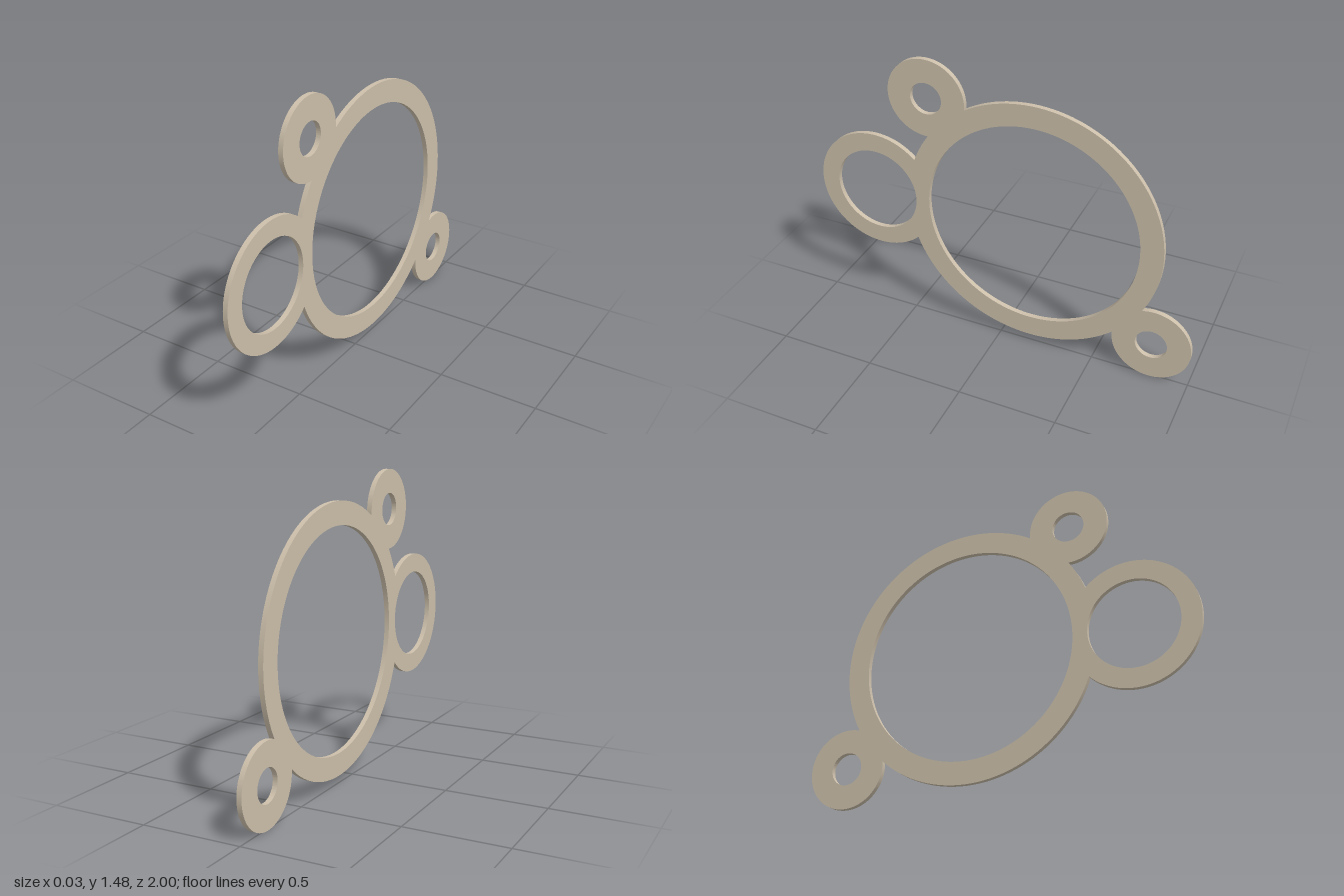
import * as THREE from 'three';
import { toCreasedNormals } from 'three/addons/utils/BufferGeometryUtils.js';

const THICKNESS = 0.025;
// Drawn in the XY plane, then turned so that the sketch x becomes -z
const MAIN = { x: 0.16, y: 0.703, outer: 0.659, inner: 0.546 };
// Lobes in counter-clockwise order round the main ring
const LOBES = [
  { x: 0.8, y: 0.2, outer: 0.2, inner: 0.081 },
  { x: -0.381, y: 1.284, outer: 0.2, inner: 0.081 },
  { x: -0.681, y: 0.703, outer: 0.319, inner: 0.223 },
];

// Points of an arc from angle a to b, leaving out the last one
function arc(c, r, a, b) {
  const n = Math.max(8, Math.ceil(Math.abs(b - a) / (Math.PI * 2) * 128));
  return Array.from({ length: n }, (_, i) => {
    const t = a + (b - a) * i / n;
    return new THREE.Vector2(c.x + r * Math.cos(t), c.y + r * Math.sin(t));
  });
}

// Where each lobe meets the main ring, as half angles seen from both centres
function joint(lobe) {
  const dx = lobe.x - MAIN.x, dy = lobe.y - MAIN.y;
  const d = Math.hypot(dx, dy), R = MAIN.outer, r = lobe.outer;
  return {
    lobe,
    angle: Math.atan2(dy, dx),
    onMain: Math.acos((d * d + R * R - r * r) / (2 * d * R)),
    onLobe: Math.PI - Math.acos((d * d + r * r - R * R) / (2 * d * r)),
  };
}

export function createModel() {
  const group = new THREE.Group();
  group.name = 'ringPlate';

  // One outline running round the lobes and the main ring between them
  const joints = LOBES.map(joint);
  const outline = joints.flatMap((j, i) => {
    const next = joints[(i + 1) % joints.length];
    const start = j.angle + j.onMain;
    let end = next.angle - next.onMain;
    while (end < start) end += Math.PI * 2;
    return [
      ...arc(j.lobe, j.lobe.outer, j.angle - j.onLobe, j.angle + j.onLobe),
      ...arc(MAIN, MAIN.outer, start, end),
    ];
  });
  const shape = new THREE.Shape(outline);

  // Round openings
  for (const ring of [MAIN, ...LOBES]) {
    shape.holes.push(new THREE.Path(arc(ring, ring.inner, Math.PI * 2, 0)));
  }

  const flat = new THREE.ExtrudeGeometry(shape, { depth: THICKNESS, bevelEnabled: false });
  flat.translate(0, 0, -THICKNESS / 2);
  flat.rotateY(Math.PI / 2);

  const plate = new THREE.Mesh(
    toCreasedNormals(flat, Math.PI / 6),
    new THREE.MeshStandardMaterial({ color: 0xccbfaa })
  );
  plate.name = 'joinedRings';
  group.add(plate);
  return group;
}
